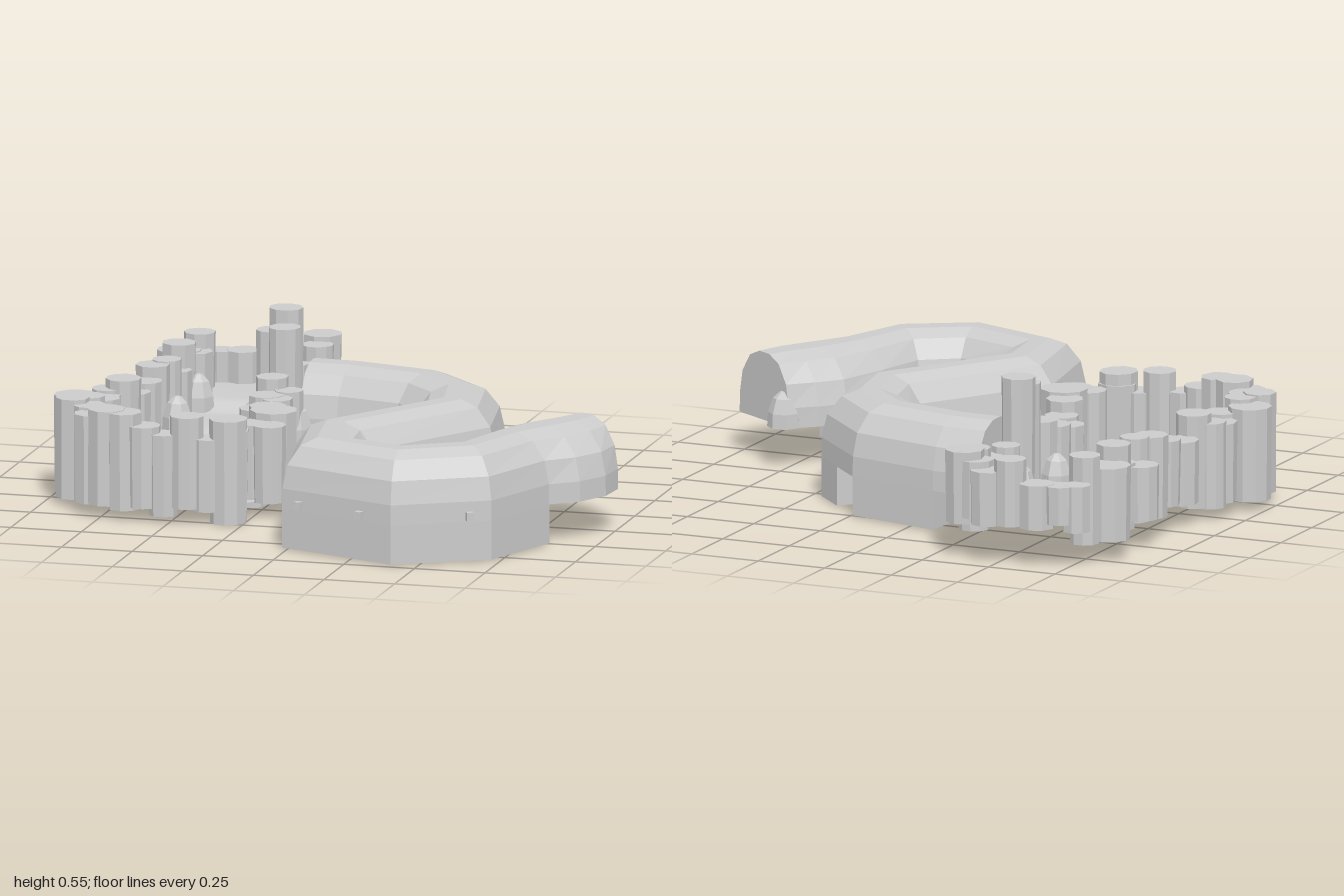
import * as THREE from 'three';

const flat = new THREE.MeshStandardMaterial({ color: 0xcccccc, flatShading: true });
const smooth = new THREE.MeshStandardMaterial({ color: 0xcccccc, side: THREE.DoubleSide });

let seed = 7;
const rand = (a, b) => {
  seed = (seed * 16807) % 2147483647;
  return a + (b - a) * seed / 2147483647;
};

function add(parent, name, geometry, material = flat) {
  const mesh = new THREE.Mesh(geometry, material);
  mesh.name = name;
  parent.add(mesh);
  return mesh;
}

// Closed solid swept over sections [leftX, leftZ, rightX, rightZ];
// profile points are [across from -1 to 1, height].
function loft(sections, profile) {
  const pos = [], idx = [], n = profile.length, last = sections.length - 1;
  for (const [ax, az, bx, bz] of sections) {
    for (const [u, y] of profile) {
      const t = (u + 1) / 2;
      pos.push(ax + (bx - ax) * t, y, az + (bz - az) * t);
    }
  }
  for (let k = 0; k < last; k++) {
    for (let j = 0; j < n; j++) {
      const a = k * n + j, b = k * n + (j + 1) % n;
      idx.push(a, b, a + n, b, b + n, a + n);
    }
  }
  for (let j = 1; j < n - 1; j++) {
    idx.push(0, j + 1, j);
    idx.push(last * n, last * n + j, last * n + j + 1);
  }
  const g = new THREE.BufferGeometry();
  g.setAttribute('position', new THREE.Float32BufferAttribute(pos, 3));
  g.setIndex(idx);
  g.computeVertexNormals();
  return g;
}

// Winding tunnel, from the chamber to the far mouth
const path = [
  [-0.27, -0.60, -0.26, -0.26], [-0.10, -0.59, -0.13, -0.26],
  [0.24, -0.51, 0.09, -0.21], [0.46, -0.29, 0.17, -0.13],
  [0.52, 0.05, 0.20, -0.01], [0.23, 0.50, -0.09, 0.43],
  [0.23, 0.61, -0.02, 0.82], [0.38, 0.65, 0.41, 0.98],
  [0.49, 0.57, 0.72, 0.81], [0.53, 0.40, 0.84, 0.51],
  [0.59, 0.20, 0.93, 0.44], [0.66, 0.12, 0.99, 0.33],
  [0.74, 0.05, 1.00, 0.21],
];
const half = [[-1, 0.14], [-0.99, 0.21], [-0.88, 0.29], [-0.58, 0.353], [-0.2, 0.377]];
const arch = [...half, ...half.map(([u, y]) => [-u, y]).reverse()];
const base = [[-1, 0.004], [-1, 0.14], [1, 0.14], [1, 0.004]];

function buildTunnel() {
  const g = new THREE.Group();
  g.name = 'tunnel';
  add(g, 'tunnelArch', loft(path, arch));
  // The base is split by two side passages
  const gapEnd = path[2].map((v, i) => (v + path[3][i]) / 2);
  add(g, 'tunnelBaseNear', loft(path.slice(1, 3), base));
  add(g, 'tunnelBaseMiddle', loft([gapEnd, ...path.slice(3, 6)], base));
  add(g, 'tunnelBaseFar', loft(path.slice(6, 10), base));
  // Small pegs on the walls
  for (const [x, z, turn] of [[0.05, 0.845, 0.3], [0.29, 0.935, 0.3], [0.65, 0.845, -0.5],
    [0.43, 0.60, -0.5], [0.37, 0.65, 0.2]]) {
    const peg = add(g, 'wallPeg', new THREE.BoxGeometry(0.025, 0.03, 0.04));
    peg.position.set(x, 0.16, z);
    peg.rotation.y = -turn;
  }
  return g;
}

// Chamber floor rows: z, left edge, right edge, height
function buildFloor() {
  const rows = [
    [-0.92, -0.75, -0.32, 0.18], [-0.65, -0.78, -0.36, 0.18], [-0.61, -0.78, -0.34, 0.17],
    [-0.57, -0.78, -0.26, 0.145], [-0.53, -0.79, -0.25, 0.14], [-0.37, -0.80, -0.25, 0.14],
    [-0.33, -0.80, -0.26, 0.13], [-0.29, -0.81, -0.32, 0.115], [-0.05, -0.82, -0.34, 0.08],
    [0.05, -0.84, -0.28, 0.06], [0.20, -0.92, -0.22, 0.06], [0.40, -0.84, -0.24, 0.06],
    [0.52, -0.74, -0.34, 0.06],
  ];
  const pos = [], idx = [];
  rows.forEach(([z, a, b, y], k) => {
    pos.push(a, y, z, b, y, z);
    const i = k * 2;
    if (k) idx.push(i - 2, i, i - 1, i - 1, i, i + 1);
  });
  const geo = new THREE.BufferGeometry();
  geo.setAttribute('position', new THREE.Float32BufferAttribute(pos, 3));
  geo.setIndex(idx);
  geo.computeVertexNormals();
  return geo;
}

// Irregular stone column
function column(parent, x, z, r, bottom, top) {
  const sides = Math.floor(rand(8, 11));
  const geo = new THREE.CylinderGeometry(r, r * rand(0.92, 1), top - bottom, sides);
  const c = add(parent, 'stoneColumn', geo);
  c.position.set(x, (top + bottom) / 2, z);
  c.rotation.y = rand(0, 3);
  c.scale.z = rand(0.92, 1.08);
}

// Column rings: x, z, radius
const rightSide = [
  [-0.35, -0.87, 0.068], [-0.34, -0.77, 0.055], [-0.34, -0.67, 0.06], [-0.37, -0.58, 0.05],
  [-0.36, -0.27, 0.055], [-0.29, -0.23, 0.05], [-0.35, -0.16, 0.06], [-0.30, -0.12, 0.055],
  [-0.35, -0.05, 0.06], [-0.30, 0.02, 0.06], [-0.27, 0.11, 0.065], [-0.22, 0.21, 0.08],
  [-0.20, 0.34, 0.06], [-0.27, 0.32, 0.055], [-0.31, 0.45, 0.07],
];
const frontSide = [
  [-0.38, 0.48, 0.055], [-0.45, 0.49, 0.06], [-0.53, 0.50, 0.055], [-0.60, 0.50, 0.06],
  [-0.67, 0.49, 0.06], [-0.74, 0.47, 0.065], [-0.80, 0.45, 0.06], [-0.83, 0.36, 0.06],
  [-0.90, 0.33, 0.06], [-0.86, 0.26, 0.055],
];
const leftSide = [
  [-0.925, 0.20, 0.075], [-0.84, 0.15, 0.06], [-0.87, 0.06, 0.065], [-0.82, -0.03, 0.065],
  [-0.87, 0.00, 0.055], [-0.82, -0.14, 0.065], [-0.80, -0.23, 0.06], [-0.80, -0.33, 0.06],
  [-0.77, -0.40, 0.05], [-0.83, -0.48, 0.06], [-0.77, -0.52, 0.055], [-0.78, -0.59, 0.06],
  [-0.81, -0.70, 0.075], [-0.75, -0.70, 0.055], [-0.76, -0.78, 0.055], [-0.77, -0.87, 0.05],
];
const backSide = [
  [-0.72, -0.90, 0.055], [-0.64, -0.91, 0.06], [-0.54, -0.91, 0.055], [-0.46, -0.92, 0.06],
  [-0.40, -0.88, 0.055],
];

function buildChamber() {
  const g = new THREE.Group();
  g.name = 'chamber';
  add(g, 'chamberFloor', buildFloor(), smooth);
  for (const [x, z, r] of [...rightSide, ...frontSide, ...leftSide, ...backSide]) {
    const low = z < -0.8 ? 0.12 : z < -0.1 ? 0.06 : 0.02;
    column(g, x, z, r, low + rand(0, 0.035), rand(0.28, 0.38));
  }
  column(g, -0.31, 0.46, 0.065, 0, 0.36);
  // Tall pillars beside the tunnel entrance
  column(g, -0.37, -0.48, 0.058, 0.05, 0.545);
  column(g, -0.345, -0.375, 0.055, 0.04, 0.5);
  return g;
}

// Blunt rocks at the gateways and the far mouth: x, y, z, radius, height
function buildRocks() {
  const g = new THREE.Group();
  g.name = 'looseRocks';
  const rocks = [
    [-0.71, 0.14, -0.59, 0.055, 0.13], [-0.43, 0.14, -0.59, 0.055, 0.13],
    [-0.71, 0.13, -0.32, 0.055, 0.12], [-0.44, 0.13, -0.32, 0.055, 0.12],
    [-0.26, 0.12, -0.57, 0.055, 0.17], [-0.27, 0.12, -0.25, 0.06, 0.15],
    [0.77, 0.14, 0.075, 0.058, 0.125],
    [-0.77, 0.06, 0.09, 0.025, 0.07], [-0.33, 0.06, 0.10, 0.025, 0.07],
    [-0.77, 0.06, 0.37, 0.025, 0.07],
  ];
  for (const [x, y, z, r, h] of rocks) {
    const profile = [[0, 0], [1, 0], [0.95, 0.4], [0.65, 0.8], [0.25, 0.97], [0, 1]]
      .map(([u, v]) => new THREE.Vector2(u * r, v * h));
    const rock = add(g, 'looseRock', new THREE.LatheGeometry(profile, 7));
    rock.position.set(x, y, z);
    rock.rotation.y = rand(0, 3);
  }
  return g;
}

export function createModel() {
  const model = new THREE.Group();
  model.name = 'caveSystem';
  model.add(buildTunnel(), buildChamber(), buildRocks());
  return model;
}
